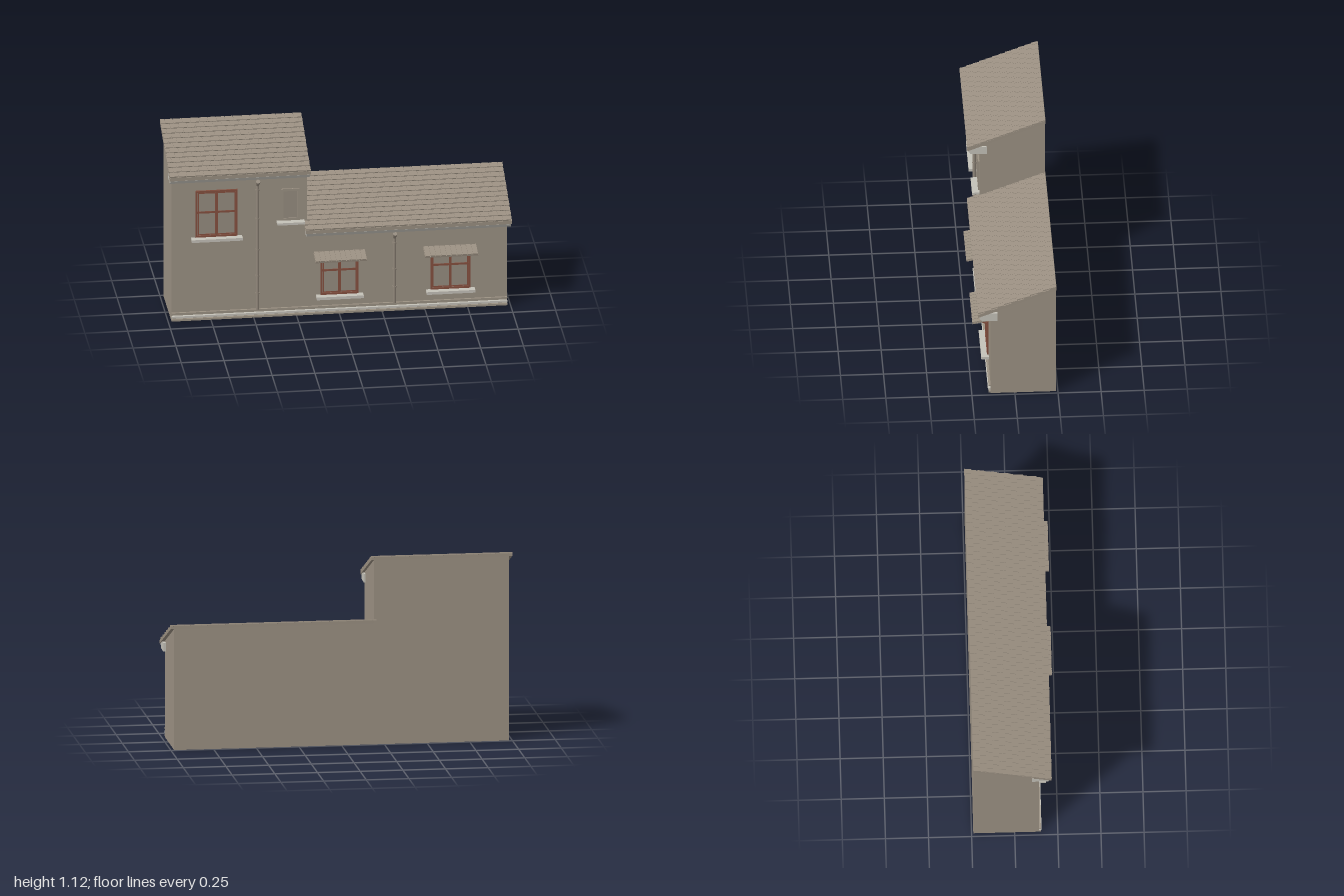
import * as THREE from 'three';
import { mergeGeometries } from 'three/addons/utils/BufferGeometryUtils.js';

const mat = (name, color) => {
  const m = new THREE.MeshStandardMaterial({ color });
  m.name = name;
  return m;
};

export function createModel() {
  const model = new THREE.Group();
  model.name = 'rowHouse';
  const wall = mat('wall plaster', 0x9b9183);
  const tile = mat('roof tile', 0x9a8f81);
  const stone = mat('pale stone', 0xc4c1b8);
  const wood = mat('red brown wood', 0x844f3f);
  const pane = mat('window pane', 0x968c7f);
  const pipe = mat('drain pipe', 0x92887b);

  const FRONT = 0.14, BACK = -0.24, EAVE = 0.213, SLOPE = 0.388;
  const angle = Math.atan(SLOPE);

  const add = (name, geometry, material, parent = model) => {
    const mesh = new THREE.Mesh(geometry, material);
    mesh.name = name;
    parent.add(mesh);
    return mesh;
  };
  const group = (name) => {
    const g = new THREE.Group();
    g.name = name;
    model.add(g);
    return g;
  };
  // box given by its limits on each axis
  const box = (x0, x1, y0, y1, z0, z1) =>
    new THREE.BoxGeometry(x1 - x0, y1 - y0, z1 - z0)
      .translate((x0 + x1) / 2, (y0 + y1) / 2, (z0 + z1) / 2);
  // side profile of [z, y] points, extruded from x0 to x1
  const prism = (points, x0, x1) => {
    const shape = new THREE.Shape(points.map(([z, y]) => new THREE.Vector2(-z, y)));
    return new THREE.ExtrudeGeometry(shape, { depth: x1 - x0, bevelEnabled: false })
      .rotateY(Math.PI / 2).translate(x0, 0, 0);
  };
  // round bar between two points
  const bar = (a, b, r, sides = 10) => {
    const from = new THREE.Vector3(...a), dir = new THREE.Vector3(...b).sub(from);
    const q = new THREE.Quaternion().setFromUnitVectors(
      new THREE.Vector3(0, 1, 0), dir.clone().normalize());
    return new THREE.CylinderGeometry(r, r, dir.length(), sides)
      .applyQuaternion(q).translate(...from.addScaledVector(dir, 0.5).toArray());
  };

  // one house section: walls, sloping slab, tiles and eave moulding
  function section(name, wx0, wx1, rx0, rx1, eaveY) {
    const g = group(name);
    const under = (z) => eaveY + (EAVE - z) * SLOPE;
    add('walls', prism([[FRONT, 0], [BACK, 0], [BACK, under(BACK)], [FRONT, under(FRONT)]],
      wx0, wx1), wall, g);
    const t = 0.02;
    add('roofSlab', prism([[EAVE, eaveY], [BACK, under(BACK)], [BACK, under(BACK) + t],
      [EAVE, eaveY + t]], rx0, rx1), tile, g);

    // overlapping tiles in running bond, each lifted at its front edge
    const rows = 12, step = (EAVE - BACK) / rows, width = 0.05, gap = 0.003;
    const tiles = [];
    for (let r = 0; r < rows; r++) {
      const z = EAVE - (r + 0.5) * step;
      for (let x = rx0 - (r % 2) * width / 2; x < rx1 - 0.005; x += width) {
        const a = Math.max(x + gap / 2, rx0), b = Math.min(x + width - gap / 2, rx1);
        if (b - a < 0.005) continue;
        tiles.push(new THREE.BoxGeometry(b - a, 0.008, step / Math.cos(angle))
          .rotateX(angle - 0.12).translate((a + b) / 2, under(z) + t + 0.003, z));
      }
    }
    add('roofTiles', mergeGeometries(tiles), tile, g);

    const y = eaveY - 0.027;
    add('eaveMoulding', prism([[0.10, y], [0.194, y + 0.003], [0.208, y + 0.024],
      [0.208, eaveY + 0.003], [FRONT, y + 0.052], [0.10, y + 0.052]],
      rx0 + 0.005, rx1 - 0.005), stone, g);
  }
  section('tallSection', -0.98, -0.19, -1, -0.175, 0.915);
  section('lowSection', -0.19, 0.98, -0.205, 1, 0.541);

  // stepped plinth along the foot of the front wall
  const plinth = group('plinth');
  add('lowerCourse', box(-0.98, 0.98, 0.004, 0.016, FRONT, 0.152), wall, plinth);
  add('middleCourse', box(-0.98, 0.98, 0.024, 0.036, FRONT, 0.156), stone, plinth);
  add('upperCourse', box(-0.98, 0.98, 0.048, 0.056, FRONT, 0.152), wall, plinth);

  // rectangular ring of four bars
  const ring = (x0, x1, y0, y1, w, z1) => [
    box(x0, x0 + w, y0, y1, FRONT, z1), box(x1 - w, x1, y0, y1, FRONT, z1),
    box(x0 + w, x1 - w, y0, y0 + w, FRONT, z1), box(x0 + w, x1 - w, y1 - w, y1, FRONT, z1)];

  // wooden window with outer frame, inner sash lines, cross bars and a sill
  function woodWindow(x0, x1, y0, y1, barY) {
    const g = group('woodWindow');
    const cx = (x0 + x1) / 2, i = 0.017;
    add('panes', box(x0 + 0.005, x1 - 0.005, y0 + 0.005, y1 - 0.005, FRONT, 0.1425), pane, g);
    add('frame', mergeGeometries([
      ...ring(x0, x1, y0, y1, 0.011, 0.15),
      ...ring(x0 + i - 0.004, cx - 0.002, y0 + i - 0.004, y1 - i + 0.004, 0.006, 0.146),
      ...ring(cx + 0.002, x1 - i + 0.004, y0 + i - 0.004, y1 - i + 0.004, 0.006, 0.146),
      box(cx - 0.006, cx + 0.006, y0 + 0.01, y1 - 0.01, FRONT, 0.148),
      box(x0 + 0.01, x1 - 0.01, barY - 0.006, barY + 0.006, FRONT, 0.147),
    ]), wood, g);
    add('sill', box(x0 - 0.026, x1 + 0.026, y0 - 0.018, y0 - 0.001, FRONT, 0.184), stone, g);
  }
  woodWindow(-0.84, -0.595, 0.525, 0.817, 0.68);
  woodWindow(-0.11, 0.112, 0.125, 0.35, 0.278);
  woodWindow(0.532, 0.764, 0.125, 0.35, 0.278);

  // narrow plain window beside the roof step
  const narrow = group('narrowWindow');
  add('pane', box(-0.332, -0.24, 0.61, 0.795, FRONT, 0.142), pane, narrow);
  add('frame', mergeGeometries(ring(-0.342, -0.232, 0.605, 0.803, 0.014, 0.148)), wall, narrow);
  add('sill', box(-0.366, -0.205, 0.59, 0.604, FRONT, 0.184), stone, narrow);

  // slatted awnings on slanting struts
  function awning(x0, x1) {
    const g = group('awning');
    const tilt = 0.2, n = 10, w = (x1 - x0) / n, slats = [];
    for (let i = 0; i < n; i++)
      slats.push(new THREE.BoxGeometry(w - 0.004, 0.007, 0.1).rotateX(tilt)
        .translate(x0 + (i + 0.5) * w, 0.383, 0.188));
    add('slats', mergeGeometries(slats), tile, g);
    add('board', new THREE.BoxGeometry(x1 - x0, 0.007, 0.098).rotateX(tilt)
      .translate((x0 + x1) / 2, 0.376, 0.188), tile, g);
    for (const x of [x0 + 0.045, x1 - 0.045])
      add('strut', prism([[FRONT, 0.332], [0.228, 0.362], [0.228, 0.368], [FRONT, 0.34]],
        x - 0.005, x + 0.005), wood, g);
  }
  awning(-0.15, 0.15);
  awning(0.49, 0.80);

  // drainpipes with a slanted head and clamps
  function drainpipe(x, top, clamps) {
    const g = group('drainpipe');
    const z = 0.156;
    add('pipe', bar([x, 0.057, z], [x, top - 0.033, z], 0.0095), pipe, g);
    add('elbow', bar([x, top - 0.04, z - 0.004], [x, top - 0.008, 0.184], 0.0095), pipe, g);
    add('head', bar([x, top - 0.018, 0.174], [x, top, 0.19], 0.0125), pipe, g);
    for (const y of clamps) {
      add('clamp', bar([x, y - 0.004, z], [x, y + 0.004, z], 0.0125), pipe, g);
      add('clampArm', box(x - 0.004, x + 0.004, y - 0.004, y + 0.004, FRONT, z), pipe, g);
    }
  }
  drainpipe(-0.48, 0.877, [0.16, 0.27, 0.435, 0.63, 0.81]);
  drainpipe(0.32, 0.505, [0.16, 0.27, 0.435]);

  return model;
}
